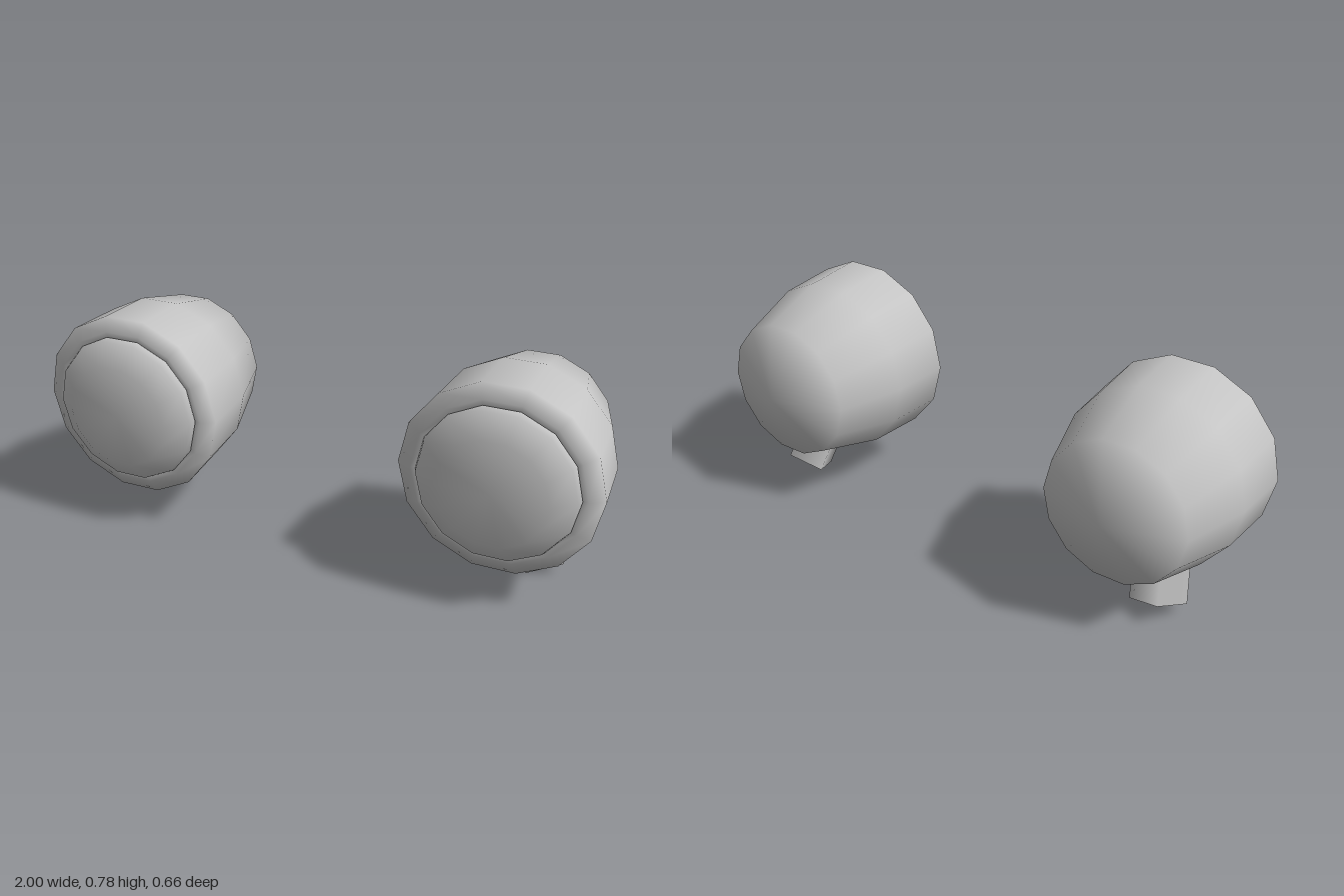
import * as THREE from 'three';
import { mergeVertices } from 'three/addons/utils/BufferGeometryUtils.js';

const SIDES = 14;

// Smooth 14-sided turned shape whose axis points to +z; profile is [radius, z] from back to front
function turned(profile) {
  const lathe = new THREE.LatheGeometry(
    profile.map(([r, z]) => new THREE.Vector2(r, z)), SIDES, Math.PI / 2);
  lathe.rotateX(Math.PI / 2);
  lathe.deleteAttribute('uv');
  lathe.deleteAttribute('normal');
  const smooth = mergeVertices(lathe, 1e-4);
  smooth.computeVertexNormals();
  return smooth;
}

export function createModel() {
  const model = new THREE.Group();
  model.name = 'headlampPair';
  const grey = new THREE.MeshStandardMaterial({ color: 0xc4c4c4, side: THREE.DoubleSide });
  grey.name = 'lightGrey';

  const housingShape = turned([
    [0, -0.329], [0.25, -0.243], [0.321, 0], [0.334, 0.226], [0.285, 0.249], [0.262, 0.243],
  ]);
  const lensShape = turned([
    [0.258, 0.235], [0.267, 0.25], [0.259, 0.274], [0.185, 0.326], [0, 0.326],
  ]);

  // Open square mounting tube, with its lower end at the origin
  const stubLength = 0.2;
  const stubShape = new THREE.CylinderGeometry(0.094, 0.094, stubLength, 4, 1, true);
  stubShape.translate(0, stubLength / 2, 0);

  for (const side of [1, -1]) {
    const lamp = new THREE.Group();
    lamp.name = side > 0 ? 'leftLamp' : 'rightLamp';

    // Lamp body, nodding slightly downwards
    const body = new THREE.Group();
    body.name = 'lampBody';
    body.position.set(side * 0.666, 0.457, 0);
    body.rotation.x = 0.018;
    const housing = new THREE.Mesh(housingShape, grey);
    housing.name = 'housing';
    const lens = new THREE.Mesh(lensShape, grey);
    lens.name = 'lens';
    body.add(housing, lens);

    // Mount slants down, outwards and back; one corner leads forward
    const up = new THREE.Vector3(-0.2 * side, 0.89, 0.41).normalize();
    const corner = new THREE.Vector3(-0.066 * side, -0.089, 0.154);
    const across = up.clone().cross(corner).normalize();
    corner.crossVectors(across, up);
    const stub = new THREE.Mesh(stubShape, grey);
    stub.name = 'mountingStub';
    stub.quaternion.setFromRotationMatrix(new THREE.Matrix4().makeBasis(across, up, corner));
    stub.position.set(side * 0.76, 0.045, -0.061);

    lamp.add(body, stub);
    model.add(lamp);
  }
  return model;
}
